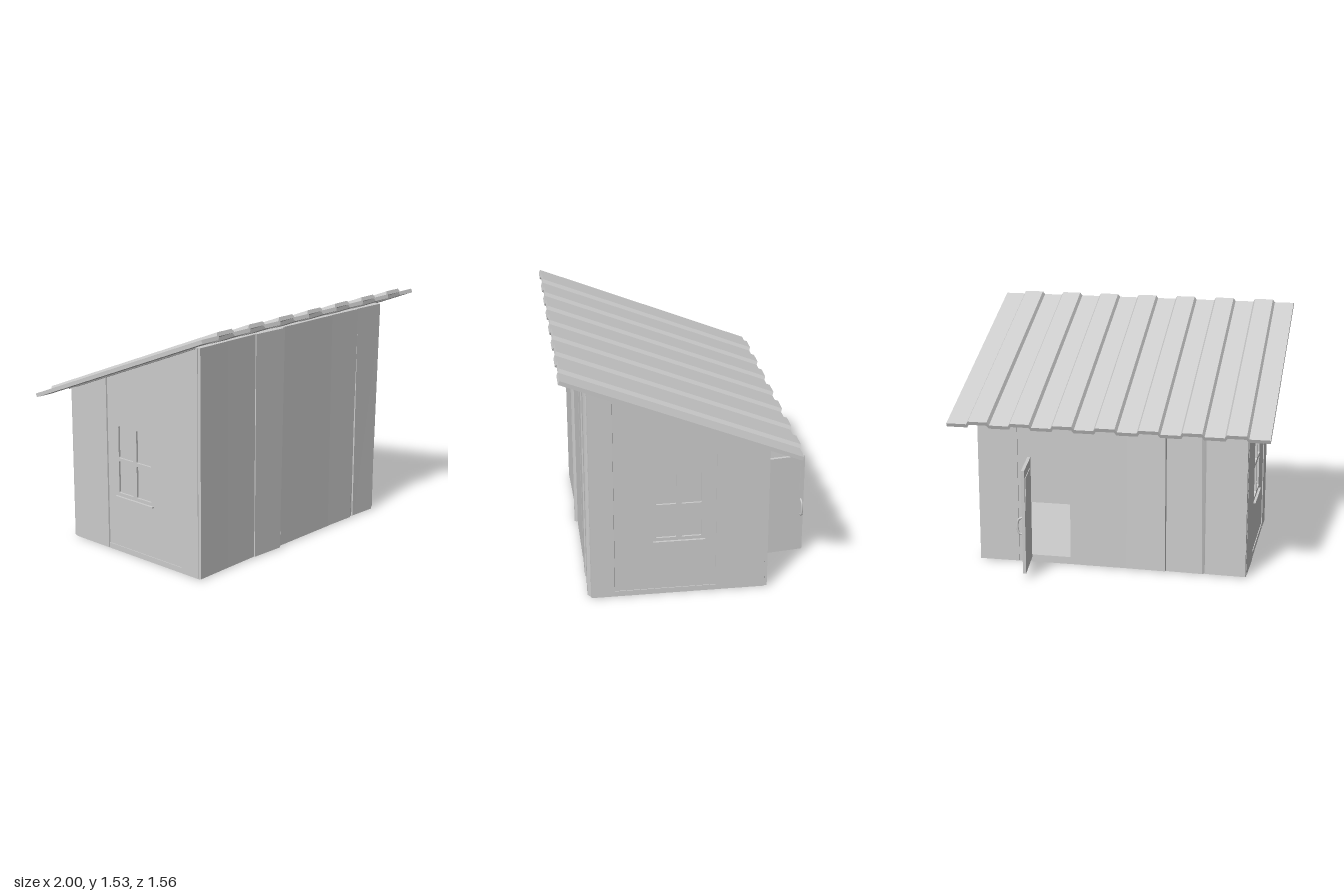
import * as THREE from 'three';

const SLOPE = 0.398;                                  // roof rise per unit of depth
const underRoof = z => 0.92 + (z + 0.64) * SLOPE;     // underside height of the roof

export function createModel() {
  const shed = new THREE.Group();
  shed.name = 'shed';
  const grey = new THREE.MeshStandardMaterial({ color: 0xcccccc });
  grey.name = 'plain grey';

  const add = (parent, name, geo, x = 0, y = 0, z = 0) => {
    const m = new THREE.Mesh(geo, grey);
    m.name = name;
    m.position.set(x, y, z);
    parent.add(m);
    return m;
  };
  const box = (parent, name, w, h, d, x, y, z) => add(parent, name, new THREE.BoxGeometry(w, h, d), x, y, z);
  const group = (name, x, z, turn) => {
    const g = new THREE.Group();
    g.name = name;
    g.position.set(x, 0, z);
    g.rotation.y = turn;
    shed.add(g);
    return g;
  };
  const polygon = pts => new THREE.Shape(pts.map(p => new THREE.Vector2(...p)));

  // Wall sheet whose outer face lies on the group's local z = 0
  const wall = (parent, shape, t = 0.03) => {
    const geo = new THREE.ExtrudeGeometry(shape, { depth: t, bevelEnabled: false, curveSegments: 3 });
    add(parent, 'wallSheet', geo.translate(0, 0, -t));
  };

  // Uneven board: back edges u0..u1, outer right edge drawn in at bottom and top
  const plank = (parent, u0, u1, top, d0, d1, inBottom = 0, inTop = 0) => {
    const geo = new THREE.BoxGeometry(1, 1, 1);
    const p = geo.attributes.position;
    for (let i = 0; i < p.count; i++) {
      const right = p.getX(i) > 0, up = p.getY(i) > 0, out = p.getZ(i) > 0;
      const inset = right && out ? (up ? inTop : inBottom) : 0;
      const u = (right ? u1 : u0) - inset;
      p.setXYZ(i, u, up ? top(u) : 0.005, out ? (right ? d1 : d0) : -0.005);
    }
    geo.computeVertexNormals();
    add(parent, 'plank', geo);
  };

  // Floor
  box(shed, 'floor', 1.71, 0.035, 1.07, 0, 0.0175, 0.075);

  // Front wall
  const front = group('frontWall', 0, 0.615, 0);
  const frontTop = () => underRoof(0.615) - 0.008;
  wall(front, polygon([[-0.855, 0.005], [0.855, 0.005], [0.855, frontTop()], [-0.855, frontTop()]]), 0.025);
  [
    [-0.855, -0.61, 0.012, 0.008], [-0.61, -0.37, 0.008, 0.006],
    [-0.37, -0.12, 0.012, 0.025, 0.025, 0.002], [-0.12, 0.12, 0.006, 0.008],
    [0.12, 0.36, 0.008, 0.01], [0.36, 0.625, 0.008, 0.016, 0.035, 0.005],
    [0.625, 0.855, 0.01, 0.02, 0.035, 0.003],
  ].forEach(([a, b, d0, d1, ib, it]) => plank(front, a, b, frontTop, d0, d1, ib, it));

  // Back wall with doorway
  const back = group('backWall', 0, -0.468, Math.PI);
  const backTop = () => underRoof(-0.468) - 0.01;
  const backShape = polygon([[-0.855, 0.005], [0.855, 0.005], [0.855, backTop()], [-0.855, backTop()]]);
  backShape.holes.push(polygon([[-0.53, 0.05], [-0.53, 0.68], [-0.51, 0.705], [-0.29, 0.705], [-0.265, 0.68], [-0.265, 0.05]]));
  wall(back, backShape, 0.025);
  [
    [-0.855, -0.6, 0.01, 0.008], [-0.2, 0.1, 0.006, 0.008], [0.1, 0.35, 0.008, 0.014, 0.004, 0.008],
    [0.35, 0.6, 0.006, 0.014, 0.02, 0.035], [0.6, 0.855, 0.008, 0.014, 0.004, 0.004],
  ].forEach(([a, b, d0, d1, ib, it]) => plank(back, a, b, backTop, d0, d1, ib, it));

  // Side walls with four-pane windows; s maps local x to depth
  const paneHole = (u, v, w, h, r = 0.008) => {
    const p = new THREE.Path();
    p.moveTo(u + r, v).lineTo(u + w - r, v);
    p.quadraticCurveTo(u + w, v, u + w, v + r).lineTo(u + w, v + h - r);
    p.quadraticCurveTo(u + w, v + h, u + w - r, v + h).lineTo(u + r, v + h);
    p.quadraticCurveTo(u, v + h, u, v + h - r).lineTo(u, v + r);
    p.quadraticCurveTo(u, v, u + r, v);
    return p;
  };
  for (const s of [-1, 1]) {
    const side = group(s < 0 ? 'rightSideWall' : 'leftSideWall', -s * 0.85, 0, -s * Math.PI / 2);
    const top = u => underRoof(u * s) - 0.008;
    const a = s < 0 ? -0.59 : -0.443, b = s < 0 ? 0.443 : 0.59;
    const shape = polygon([[a, 0.005], [b, 0.005], [b, top(b)], [a, top(a)]]);
    for (const z of [-0.065, 0.09]) for (const y of [0.385, 0.61]) {
      shape.holes.push(paneHole(s < 0 ? -z - 0.125 : z, y, 0.125, 0.203));
    }
    wall(side, shape);
    const mid = 0.0725 * s;
    box(side, 'windowPane', 0.29, 0.44, 0.006, mid, 0.6, -0.016);
    box(side, 'windowSill', 0.32, 0.008, 0.03, mid, 0.36, 0);
    // Outer boards either side of the window
    for (const [z0, z1] of [[0.465, 0.61], [-0.465, -0.155]]) {
      plank(side, Math.min(z0 * s, z1 * s), Math.max(z0 * s, z1 * s), top, 0.006, 0.009, 0.005, 0.003);
    }
  }

  // Ribbed sheet roof, a folded profile swept down the slope
  const step = 0.2667, upper = [[-1, 0.024]], lower = [[-1, 0]];
  for (let k = 0; k < 7; k++) {
    const c = -0.8 + k * step;
    for (const [dx, rise] of [[-0.073, 0], [-0.06, 0.021], [0.06, 0.021], [0.073, 0]]) {
      upper.push([c + dx, 0.024 + rise]);
      lower.push([c + dx * 0.94, rise]);
    }
  }
  upper.push([1, 0.024]);
  lower.push([1, 0]);
  const roofGeo = new THREE.ExtrudeGeometry(polygon([...lower, ...upper.reverse()]), { depth: 1.528, bevelEnabled: false });
  add(shed, 'roof', roofGeo, 0, 0.92, -0.64).rotation.x = -Math.atan(SLOPE);

  // Open door, hung on its hinge edge
  const door = group('door', 0.53, -0.488, 0.13);
  box(door, 'doorLeaf', 0.02, 0.665, 0.29, -0.008, 0.3725, -0.147);
  box(door, 'doorPanel', 0.006, 0.21, 0.2, -0.019, 0.545, -0.165);
  box(door, 'doorTrim', 0.006, 0.21, 0.006, 0.004, 0.545, -0.266);
  for (const y of [0.185, 0.575]) {
    add(door, 'hinge', new THREE.CylinderGeometry(0.008, 0.008, 0.06, 10), 0, y, 0);
  }
  const grip = new THREE.CatmullRomCurve3([
    [0, 0.29], [0.024, 0.302], [0.032, 0.345], [0.024, 0.388], [0, 0.4],
  ].map(([x, y]) => new THREE.Vector3(x, y, -0.274)));
  add(door, 'doorHandle', new THREE.TubeGeometry(grip, 16, 0.007, 8));

  return shed;
}
